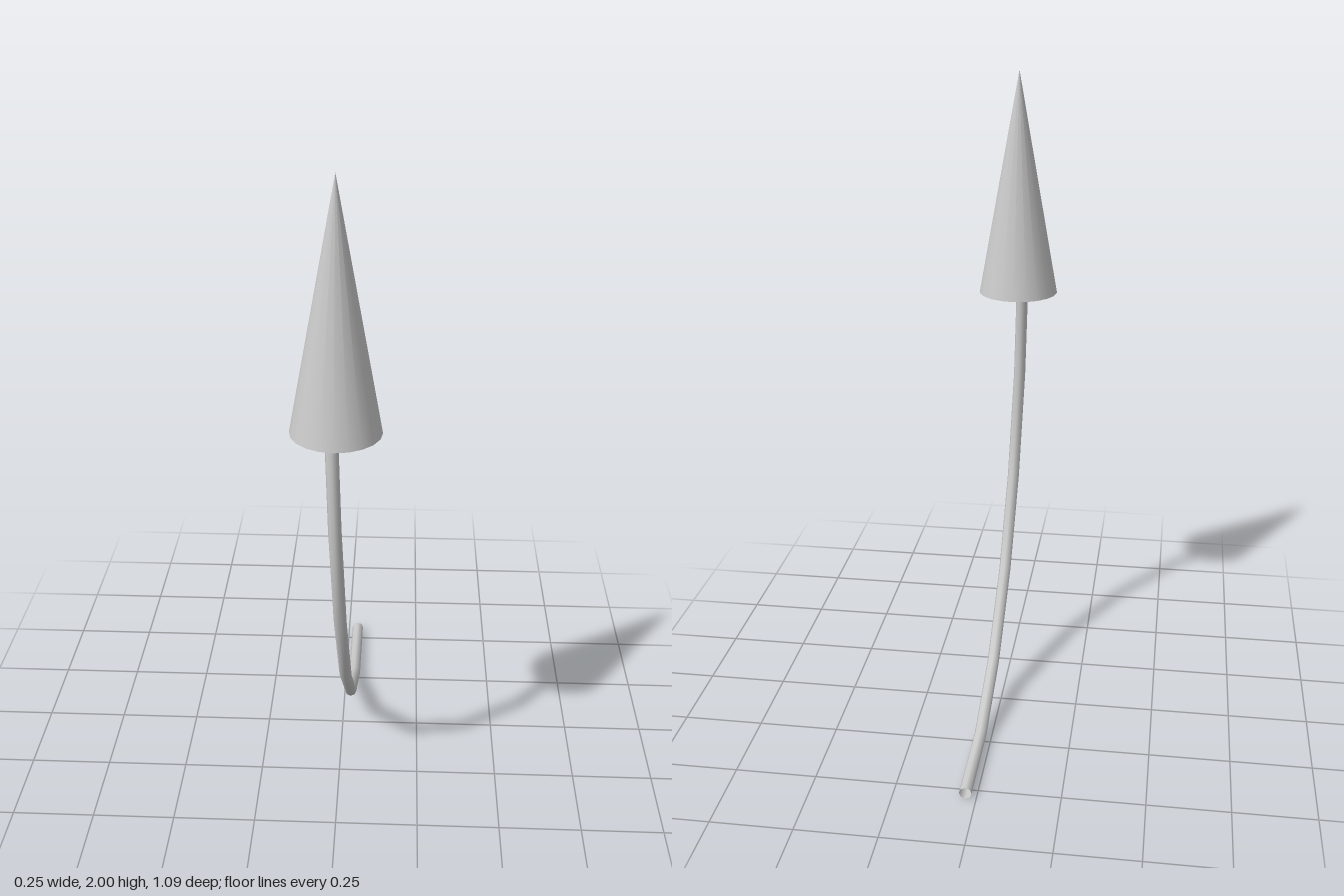
import * as THREE from 'three';

export function createModel() {
  const model = new THREE.Group();
  const material = new THREE.MeshStandardMaterial({ color: 0xcccccc, side: THREE.DoubleSide });

  // Curved stem: one straight tube section between each pair of path points
  const path = [
    [0.032, 0.022, -0.543], [0.031, 0.028, -0.25], [0.027, 0.14, 0.01], [0.019, 0.365, 0.235],
    [0.009, 0.655, 0.375], [-0.003, 1.0, 0.437], [-0.014, 1.3, 0.408],
  ].map((p) => new THREE.Vector3(...p));
  const curve = new THREE.CatmullRomCurve3(path);
  // Place the rings exactly on the path points rather than by arc length
  curve.getPointAt = (t, target) => curve.getPoint(t, target);
  curve.getTangentAt = (t, target) => curve.getTangent(t, target);
  const stem = new THREE.Mesh(new THREE.TubeGeometry(curve, path.length - 1, 0.019, 8), material);
  stem.name = 'stem';
  model.add(stem);

  // Tall pointed head with a flat base
  const base = 1.292, tip = 2;
  const head = new THREE.Mesh(new THREE.ConeGeometry(0.127, tip - base, 20), material);
  head.name = 'coneHead';
  head.position.set(0, (base + tip) / 2, 0.417);
  model.add(head);

  return model;
}
